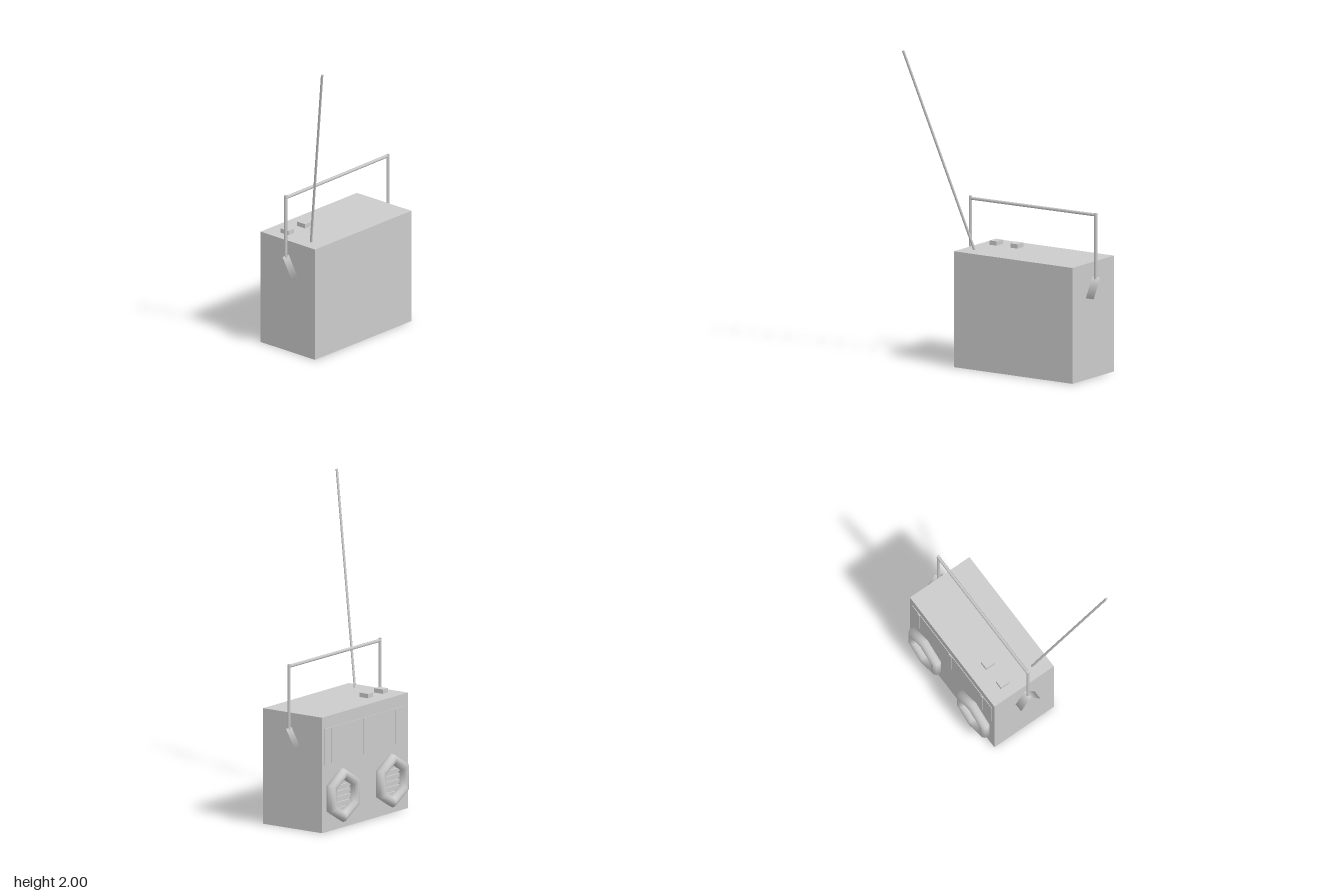
import * as THREE from 'three';

const material = new THREE.MeshStandardMaterial({ color: 0xcccccc });
const BACK = -0.325; // plane of the speaker side

export function createModel() {
  const model = new THREE.Group();
  model.name = 'portableRadio';

  const add = (name, geometry, x = 0, y = 0, z = 0, parent = model) => {
    const mesh = new THREE.Mesh(geometry, material);
    mesh.name = name;
    mesh.position.set(x, y, z);
    parent.add(mesh);
    return mesh;
  };

  // Box given by its minimum and maximum corners
  const box = (name, min, max, parent = model) =>
    add(name, new THREE.BoxGeometry(...max.map((v, i) => v - min[i])),
      ...max.map((v, i) => (v + min[i]) / 2), parent);

  // Thin rod between two points
  const rod = (name, from, to, radius, sides = 6) => {
    const a = new THREE.Vector3(...from), b = new THREE.Vector3(...to);
    const dir = b.clone().sub(a);
    const mid = a.clone().add(b).multiplyScalar(0.5);
    const mesh = add(name, new THREE.CylinderGeometry(radius, radius, dir.length(), sides), mid.x, mid.y, mid.z);
    mesh.quaternion.setFromUnitVectors(new THREE.Vector3(0, 1, 0), dir.normalize());
    return mesh;
  };

  // Case
  box('body', [-0.365, 0, BACK], [0.515, 0.725, 0.125]);

  // Buttons on top
  for (const x of [-0.269, -0.116]) {
    box('button', [x - 0.026, 0.72, -0.225], [x + 0.026, 0.752, -0.159]);
  }

  // Carrying handle with triangular side brackets
  for (const [post, inner, outer] of [[-0.392, -0.365, -0.422], [0.54, 0.515, 0.573]]) {
    const shape = new THREE.CylinderGeometry(0.083, 0.083, Math.abs(outer - inner), 3);
    shape.rotateX(-Math.PI / 2).rotateY(Math.PI / 2);
    // Point the apex upward
    shape.computeBoundingBox();
    if (shape.boundingBox.max.y < 0.06) shape.rotateX(Math.PI);
    add('handleBracket', shape, (inner + outer) / 2, 0.552, -0.092);
    rod('handlePost', [post, 0.6, -0.092], [post, 1.033, -0.092], 0.01);
  }
  rod('handleBar', [-0.397, 1.017, -0.092], [0.543, 1.022, -0.094], 0.01);

  // Antenna leaning forward and outward
  rod('antenna', [-0.283, 0.715, 0.017], [-0.573, 1.998, 0.372], 0.008);

  // Hexagonal speakers with horizontal grille slats
  for (const x of [-0.176, 0.33]) {
    const speaker = new THREE.Group();
    speaker.name = 'speaker';
    speaker.position.set(x, 0.21, BACK);
    model.add(speaker);
    const ring = new THREE.TorusGeometry(0.135, 0.034, 12, 6).rotateZ(Math.PI / 2);
    add('speakerRing', ring, 0, 0, -0.021, speaker);
    for (let i = 0; i < 6; i++) {
      const y = (i - 2.5) * 0.035;
      const half = Math.min(0.1, (0.125 - Math.abs(y)) * 1.73);
      box('grilleSlat', [-half, y - 0.011, -0.012], [half, y + 0.011, 0.005], speaker);
    }
  }

  // Shallow tuning panel with three slim dividers
  box('tuningPanel', [-0.34, 0.42, BACK - 0.004], [0.49, 0.65, BACK + 0.005]);
  for (const x of [-0.24, 0.088, 0.416]) {
    box('panelDivider', [x - 0.012, 0.425, BACK - 0.008], [x + 0.012, 0.645, BACK]);
  }

  return model;
}
